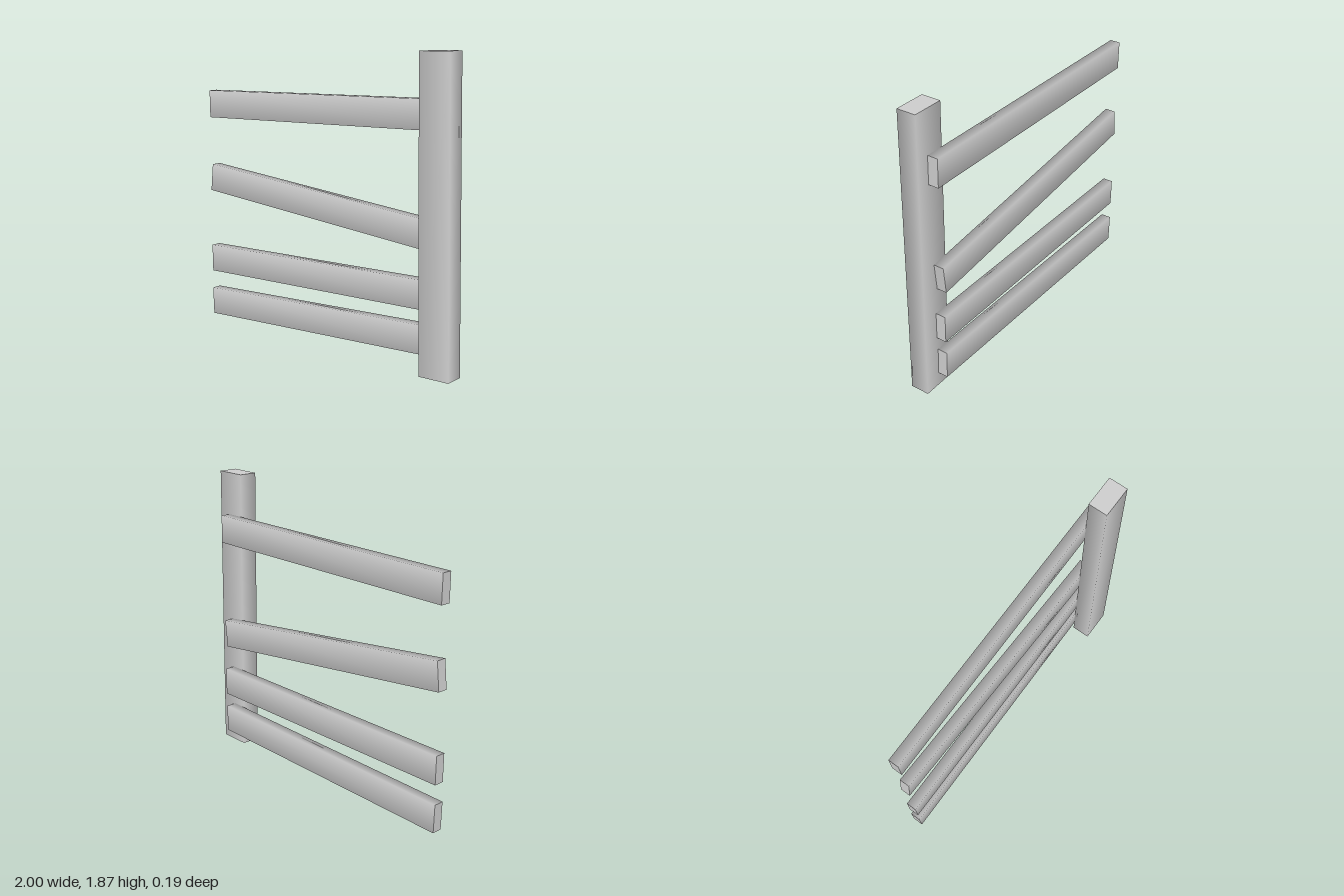
import * as THREE from 'three';

const material = new THREE.MeshStandardMaterial({ color: 0xcccccc });

// Square beam between two points in the xy plane: soft-shaded long sides, flat ends
function beam(name, [x0, y0], [x1, y1], width, zBack, zFront) {
  const dx = x1 - x0, dy = y1 - y0;
  const geometry = new THREE.CylinderGeometry(Math.SQRT1_2, Math.SQRT1_2, 1, 4);
  geometry.rotateY(Math.PI / 4);
  geometry.scale(width, Math.hypot(dx, dy), zFront - zBack);
  const mesh = new THREE.Mesh(geometry, material);
  mesh.name = name;
  mesh.rotation.z = Math.atan2(-dx, dy);
  mesh.position.set((x0 + x1) / 2, (y0 + y1) / 2, (zBack + zFront) / 2);
  return mesh;
}

export function createModel() {
  const fence = new THREE.Group();
  fence.name = 'fence';

  // Slightly leaning post
  fence.add(beam('post', [0.895, 0.002], [0.861, 1.873], 0.204, -0.028, 0.094));

  // Crooked rails fixed to the back of the post
  const rails = [
    ['bottomRail', [-0.997, 0.115], [0.885, 0.182]],
    ['lowerRail', [-0.998, 0.418], [0.885, 0.452]],
    ['middleRail', [-0.99, 0.979], [0.87, 0.797]],
    ['topRail', [-0.998, 1.475], [0.885, 1.51]],
  ];
  for (const [name, start, end] of rails) {
    fence.add(beam(name, start, end, 0.18, -0.094, -0.028));
  }
  return fence;
}
